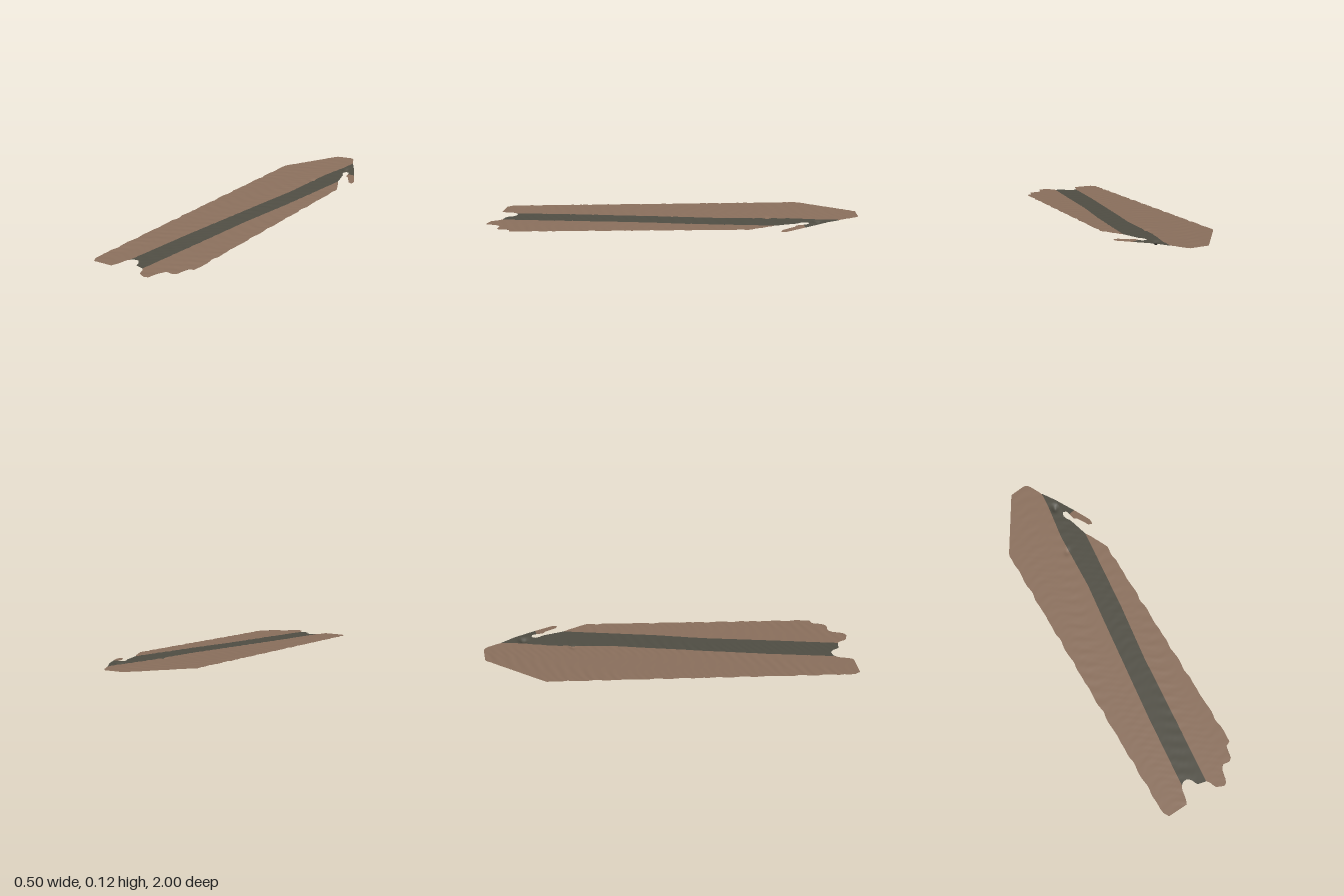
import * as THREE from 'three';

// Piecewise-linear lookup through [input, output] pairs
const along = (pts) => (t) => {
  if (t <= pts[0][0]) return pts[0][1];
  for (let i = 1; i < pts.length; i++) {
    const [a, va] = pts[i - 1], [b, vb] = pts[i];
    if (t <= b) return va + (vb - va) * (t - a) / (b - a);
  }
  return pts[pts.length - 1][1];
};

// Outline of the plank: x of each lengthwise edge by z
const leftBase = along([[-1, 0.02], [-0.99, -0.06], [-0.97, -0.073], [-0.69, -0.24], [-0.67, -0.25], [1, -0.25]]);
const stripeLeft = along([[-1, 0.035], [-0.985, 0.052], [-0.91, 0.09], [-0.83, 0.085], [-0.63, 0.055],
  [-0.3, 0.04], [-0.1, 0.015], [0.2, -0.02], [0.5, -0.055], [0.9, -0.092]]);
const stripeRight = along([[-0.91, 0.092], [-0.82, 0.15], [-0.755, 0.14], [-0.735, 0.128], [-0.71, 0.135],
  [-0.69, 0.15], [-0.58, 0.182], [-0.4, 0.165], [-0.1, 0.135], [0.2, 0.095], [0.6, 0.06], [0.92, 0.03]]);
const rightBase = along([[-0.58, 0.182], [-0.55, 0.2], [-0.45, 0.25], [1, 0.25]]);

// Chipped long edges
const chips = (z, s) => 0.005 * Math.pow(Math.abs(Math.sin(z * 20.5 + s)), 6) + 0.0015 * Math.sin(z * 57 + s);
const left = (z) => leftBase(z) + (z > -0.67 ? chips(z, 0.7) : 0);
const right = (z) => rightBase(z) - (z > -0.45 ? chips(z, 0.2) : 0);

// Broken front end: z limit by x
const frontEnd = along([[-0.25, 0.95], [-0.23, 0.985], [-0.12, 0.98], [-0.108, 0.95], [-0.1, 0.9], [-0.08, 0.873],
  [-0.05, 0.87], [-0.03, 0.89], [-0.02, 0.92], [0.03, 0.93], [0.045, 0.95], [0.055, 0.98], [0.1, 0.998],
  [0.12, 0.985], [0.13, 0.93], [0.15, 0.9], [0.19, 0.905], [0.208, 0.89], [0.215, 0.83], [0.25, 0.815]]);

// Sloping board with wood-grain ripples, a small dent and a splintered lump
const pit = (x, z, cx, cz, r, d) => -d * Math.exp(-((x - cx) ** 2 + (z - cz) ** 2) / (r * r));
const height = (x, z) => 0.0635 - 0.0585 * z
  + 0.0008 * Math.sin(z * 92 + 3 * Math.sin(x * 17 + z * 5)) * (0.6 + 0.4 * Math.sin(x * 31 + z * 11))
  + 0.0004 * Math.sin(z * 151 + 5 * Math.sin(x * 26))
  + pit(x, z, 0.04, -0.53, 0.014, 0.008) + pit(x, z, 0.11, -0.795, 0.018, 0.018);

// One lengthwise strip of the board between two edges
function strip(name, edgeA, edgeB, zStart, cols, material) {
  const rows = 170, pos = [], idx = [];
  for (let i = 0; i <= rows; i++) {
    const z = Math.max(zStart, -1 + 2 * i / rows);
    for (let j = 0; j <= cols; j++) {
      const x = THREE.MathUtils.lerp(edgeA(z), edgeB(z), j / cols);
      const zc = Math.min(z, frontEnd(x));
      pos.push(x, height(x, zc), zc);
      if (i < rows && j < cols) {
        const a = i * (cols + 1) + j, b = a + cols + 1;
        idx.push(a, b, a + 1, a + 1, b, b + 1);
      }
    }
  }
  const geo = new THREE.BufferGeometry();
  geo.setAttribute('position', new THREE.Float32BufferAttribute(pos, 3));
  geo.setIndex(idx);
  geo.computeVertexNormals();
  const mesh = new THREE.Mesh(geo, material);
  mesh.name = name;
  return mesh;
}

// Small flat splinter from an outline of [x, z] points, laid on the slope
function splinter(name, outline, material) {
  const geo = new THREE.ShapeGeometry(new THREE.Shape(outline.map(([x, z]) => new THREE.Vector2(x, -z))));
  geo.rotateX(-Math.PI / 2);
  const p = geo.attributes.position;
  for (let i = 0; i < p.count; i++) p.setY(i, 0.0635 - 0.0585 * p.getZ(i) - 0.012 * Math.max(0, p.getX(i) - 0.15) / 0.1);
  geo.computeVertexNormals();
  const mesh = new THREE.Mesh(geo, material);
  mesh.name = name;
  return mesh;
}

export function createModel() {
  const wood = new THREE.MeshStandardMaterial({ color: 0x8b705d, side: THREE.DoubleSide });
  wood.name = 'brown wood';
  const paint = new THREE.MeshStandardMaterial({ color: 0x504e44, side: THREE.DoubleSide });
  paint.name = 'dark stripe';

  const group = new THREE.Group();
  group.name = 'brokenPlank';
  group.add(
    strip('leftBoard', left, stripeLeft, -1, 34, wood),
    strip('stripe', stripeLeft, stripeRight, -0.91, 16, paint),
    strip('rightBoard', stripeRight, right, -0.58, 30, wood),
    // Hooked splinter at the back corner
    splinter('splinterRoot', [[0.14, -0.836], [0.2, -0.735], [0.165, -0.725], [0.157, -0.748], [0.138, -0.752]], paint),
    splinter('splinterTip', [[0.165, -0.725], [0.2, -0.735], [0.25, -0.645], [0.25, -0.615], [0.228, -0.62], [0.19, -0.68], [0.172, -0.69]], wood),
  );
  return group;
}
